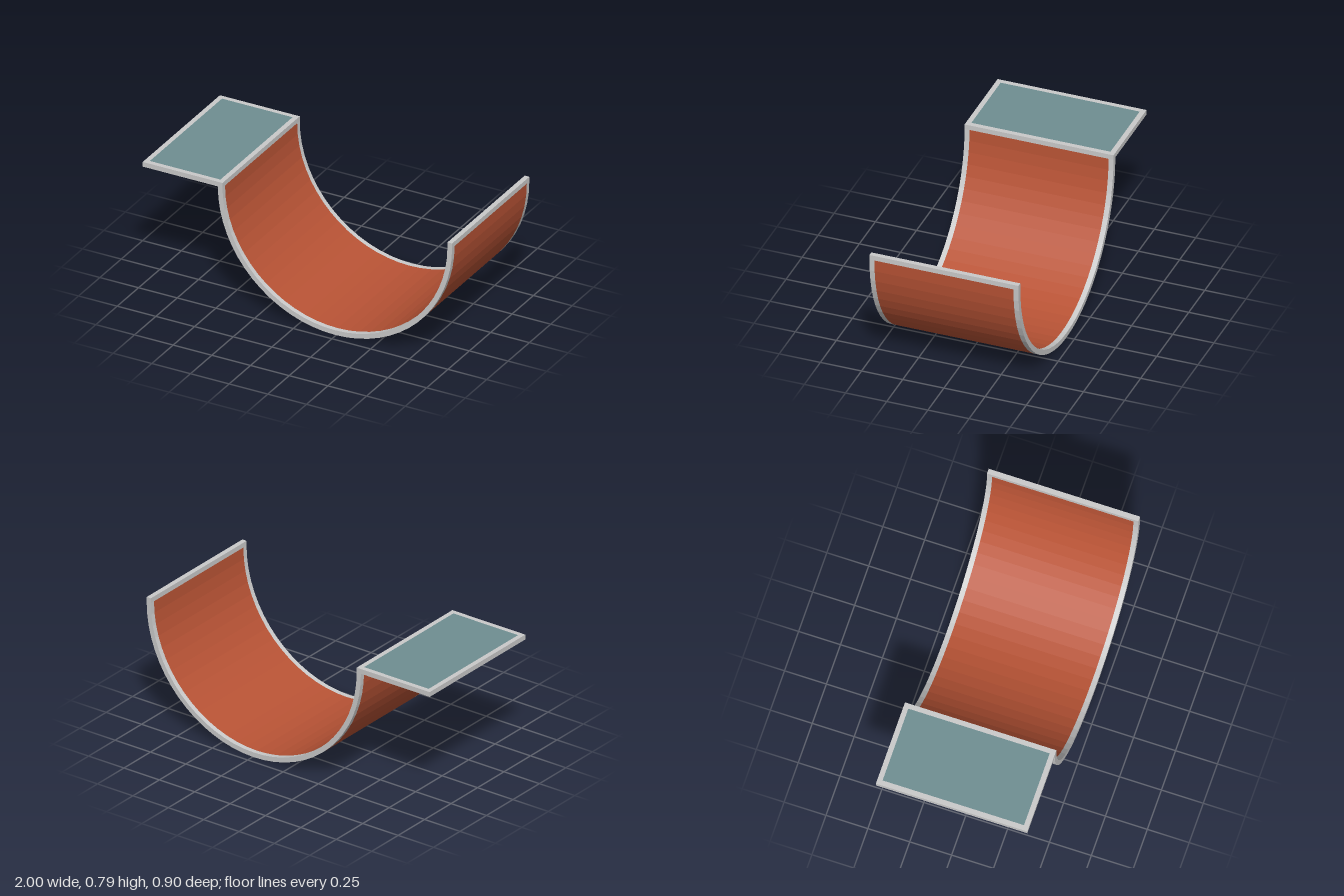
import * as THREE from 'three';

const T = 0.03;              // sheet and frame thickness
const R = 0.757;             // outer radius of the curve, also its centre height
const CX = 1 - R;            // centre of the curve in x
const DEPTH = 0.904;
const SEGMENTS = 32;
const TOP = R + T;
const CORNER = CX - R;       // outer face of the curve at the platform

// Points of a half circle from left to right, passing underneath
function arc(radius) {
  return Array.from({ length: SEGMENTS + 1 }, (_, i) => {
    const a = Math.PI + (i / SEGMENTS) * Math.PI;
    return new THREE.Vector2(CX + radius * Math.cos(a), R + radius * Math.sin(a));
  });
}

const v = (x, y) => new THREE.Vector2(x, y);

// Profile extruded along z and centred on the given z
function extrude(name, points, depth, z, material) {
  const geometry = new THREE.ExtrudeGeometry(new THREE.Shape(points), { depth, bevelEnabled: false });
  geometry.translate(0, 0, z - depth / 2);
  const mesh = new THREE.Mesh(geometry, material);
  mesh.name = name;
  return mesh;
}

function rect(x0, x1, y0, y1) {
  return [v(x0, y0), v(x1, y0), v(x1, y1), v(x0, y1)];
}

export function createModel() {
  const frameGrey = new THREE.MeshStandardMaterial({ color: 0xcacaca, flatShading: true });
  frameGrey.name = 'frameGrey';
  const rampOrange = new THREE.MeshStandardMaterial({ color: 0xb85335, flatShading: true });
  rampOrange.name = 'rampOrange';
  const deckTeal = new THREE.MeshStandardMaterial({ color: 0x6f8e92, flatShading: true });
  deckTeal.name = 'deckTeal';

  const model = new THREE.Group();
  model.name = 'halfPipe';
  const innerDepth = DEPTH - 2 * T;

  // Front and back rails follow the deck and the whole curve
  const railProfile = [
    v(-1, R), ...arc(R), v(1, TOP), v(1 - T, TOP),
    ...arc(R - T).reverse(), v(CORNER + T, TOP), v(-1, TOP),
  ];
  for (const [name, side] of [['frontRail', 1], ['backRail', -1]]) {
    model.add(extrude(name, railProfile, T, side * (DEPTH - T) / 2, frameGrey));
  }

  // Cross bars at the deck end, the lip and the far rim
  const bars = { deckEndBar: -1, lipBar: CORNER, rimBar: 1 - T };
  for (const [name, x] of Object.entries(bars)) {
    model.add(extrude(name, rect(x, x + T, R, TOP), innerDepth, 0, frameGrey));
  }

  // Curved riding surface and flat deck, flush with the frame
  model.add(extrude('curvedRamp', [...arc(R), ...arc(R - T).reverse()], innerDepth, 0, rampOrange));
  model.add(extrude('deck', rect(-1 + T, CORNER, R, TOP), innerDepth, 0, deckTeal));

  return model;
}
